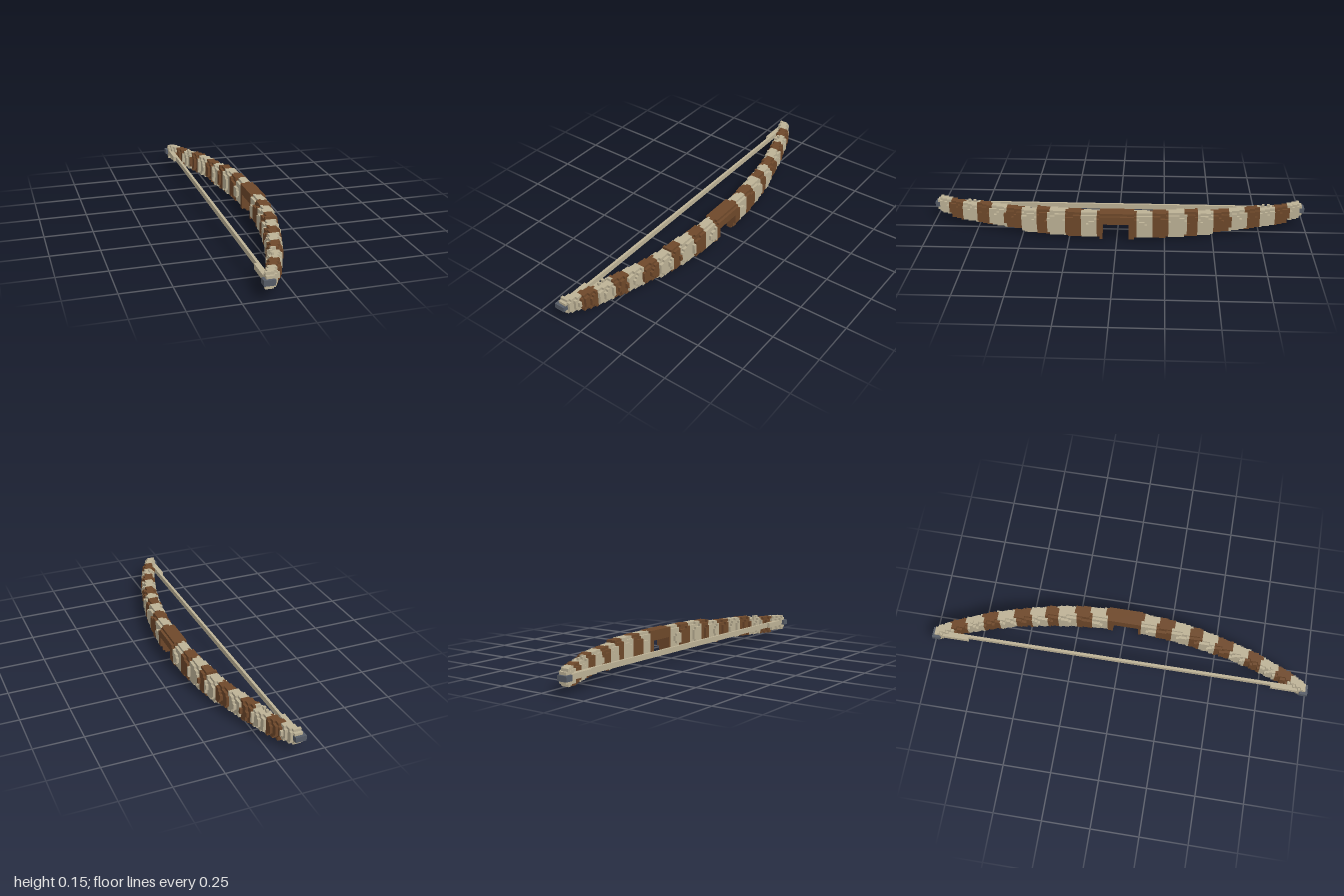
import * as THREE from 'three';
import { mergeGeometries } from 'three/addons/utils/BufferGeometryUtils.js';

const V = 2 / 145;      // edge of one block
const MID = 6;          // row height of the bow's centre line

const mat = (name, color) => Object.assign(new THREE.MeshStandardMaterial({ color }), { name });

// One unit face for each of the six directions
const DIRS = [[1, 0, 0], [-1, 0, 0], [0, 1, 0], [0, -1, 0], [0, 0, 1], [0, 0, -1]];
const FACES = DIRS.map((d) => {
  const n = new THREE.Vector3(...d);
  const q = new THREE.Quaternion().setFromUnitVectors(new THREE.Vector3(0, 0, 1), n);
  return new THREE.PlaneGeometry(V, V).applyQuaternion(q).translate(...d.map((c) => c * V / 2));
});

// Dark bands along the limb, as distances from the middle
const BANDS = [[0, 0.097], [0.18, 0.263], [0.355, 0.42], [0.5, 0.585], [0.67, 0.745], [0.83, 0.905]];
const isDark = (s) => BANDS.some(([a, b]) => s >= a && s < b);

export function createModel() {
  const bow = new THREE.Group();
  bow.name = 'bow';
  const bone = mat('bone', 0xbdb296);
  const leather = mat('leather', 0x6e482a);
  const iron = mat('iron', 0x555b66);

  const cells = new Map();
  const put = (i, j, k, part) => cells.set(`${i},${j},${k}`, { i, j, k, part });
  const fill = (i0, i1, j0, j1, k0, k1, part) => {
    for (let i = i0; i <= i1; i++)
      for (let j = j0; j <= j1; j++)
        for (let k = k0; k <= k1; k++) put(i, j, k, part);
  };

  // Curved limbs: rounded sections following a parabola, tapering to the tips
  for (let k = -70; k <= 70; k++) {
    if (Math.abs(k) <= 6) continue;
    const z = Math.abs(k) * V;
    const centre = 0.108 - 0.23 * z * z - (z > 0.9 ? (z - 0.9) * 0.15 : 0);
    const rx = (0.043 - 0.013 * z * z) / V;
    const up = z < 0.42 ? 5 : z < 0.75 ? 4 : 3;
    const down = z < 0.5 ? 5 : z < 0.9 ? 4 : 3;
    for (let i = -11; i <= 10; i++) {
      const x = (i + 0.5) * V;
      for (let j = 1; j <= 10; j++) {
        const dy = j + 0.5 - MID;
        const u = Math.abs((x - centre) / V / rx);
        const w = Math.abs(dy) / (dy > 0 ? up : down);
        if (u ** 2.5 + w ** 2.5 > 1) continue;
        const s = z - 0.46 * z * (x - centre);
        put(i, j, k, isDark(s) ? 'darkBands' : 'limbs');
      }
    }
  }

  // Grip: a solid bridge with a rounded wall at each end of the opening
  fill(5, 10, 7, 9, -6, 6, 'grip');
  fill(5, 9, 10, 10, -6, 6, 'grip');
  for (const k of [-6, -5, 6]) {
    fill(5, 10, 3, 6, k, k, 'grip');
    fill(5, 9, 1, 2, k, k, 'grip');
    fill(7, 8, 0, 0, k, k, 'grip');
  }

  for (const side of [-1, 1]) {
    const span = (a, b) => (side > 0 ? [a, b] : [-b, -a]);
    // Bone caps around the iron nocks
    fill(-10, -8, 4, 7, ...span(69, 71), 'limbs');
    fill(-11, -8, 5, 6, ...span(70, 72), 'nocks');
    // Thicker string ends
    fill(-10, -9, 5, 6, ...span(59, 69), 'string');
    // Small knots on top of the limb
    for (const k of [56, 58]) fill(-4, -4, 9, 9, ...span(k, k), 'limbs');
  }
  // Bow string
  fill(-9, -9, 5, 6, -68, 68, 'string');

  // Outer faces of the blocks, gathered by part
  const materials = { limbs: bone, darkBands: leather, grip: leather, nocks: iron, string: bone };
  for (const [name, material] of Object.entries(materials)) {
    const faces = [];
    for (const { i, j, k, part } of cells.values()) {
      if (part !== name) continue;
      DIRS.forEach(([a, b, c], d) => {
        if (cells.has(`${i + a},${j + b},${k + c}`)) return;
        faces.push(FACES[d].clone().translate((i + 0.5) * V, (j + 0.5) * V, k * V));
      });
    }
    const mesh = new THREE.Mesh(mergeGeometries(faces), material);
    mesh.name = name;
    bow.add(mesh);
  }
  return bow;
}
